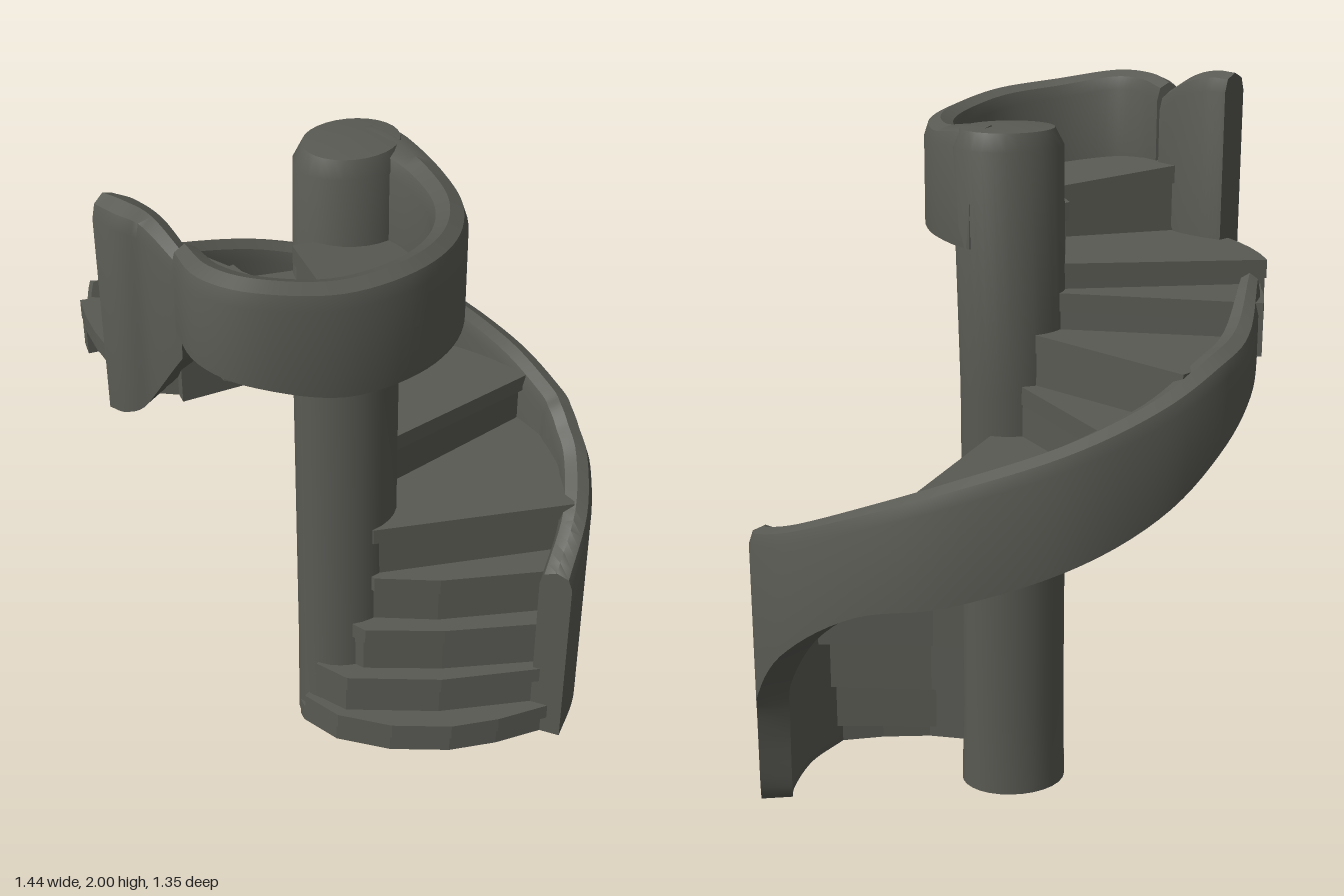
import * as THREE from 'three';
import { toCreasedNormals } from 'three/addons/utils/BufferGeometryUtils.js';

const rad = THREE.MathUtils.degToRad;
const polar = (deg, r) => [r * Math.cos(rad(deg)), r * Math.sin(rad(deg))];

// Flat slab from a plan outline of [x, z] points, between heights y0 and y1
function slab(outline, y0, y1) {
  const shape = new THREE.Shape(outline.map(([x, z]) => new THREE.Vector2(x, -z)));
  const geo = new THREE.ExtrudeGeometry(shape, { depth: y1 - y0, bevelEnabled: false });
  geo.rotateX(-Math.PI / 2);
  geo.translate(0, y0, 0);
  return geo;
}

// Move every vertex with rule(v), then rebuild the normals
function reshape(geo, rule) {
  const p = geo.attributes.position, v = new THREE.Vector3();
  for (let i = 0; i < p.count; i++) {
    v.fromBufferAttribute(p, i);
    rule(v);
    p.setXYZ(i, v.x, v.y, v.z);
  }
  return toCreasedNormals(geo, rad(40));
}

// Upright wall with a rounded top, swept along rows of [x, z, bottom, top, thickness]
function sweptWall(rows, steps) {
  const curve = (f) => new THREE.CatmullRomCurve3(rows.map(f), false, 'catmullrom', 0.5);
  const low = curve((p) => new THREE.Vector3(p[0], p[2], p[1]));
  const high = curve((p) => new THREE.Vector3(p[0], p[3], p[1]));
  const width = curve((p) => new THREE.Vector3(p[4], 0, 0));
  // across (in half thicknesses) and drop from the top; null means the bottom edge
  const section = [[-1, null], [-1, 0.05], [-0.75, 0.015], [0, 0], [0.75, 0.015], [1, 0.05], [1, null]];
  const n = section.length, pos = [], idx = [];
  for (let i = 0; i <= steps; i++) {
    const t = i / steps, a = low.getPoint(t), b = high.getPoint(t), half = width.getPoint(t).x / 2;
    const d = low.getPoint(Math.min(1, t + 0.004)).sub(low.getPoint(Math.max(0, t - 0.004)));
    d.y = 0;
    d.normalize();
    for (const [u, drop] of section) {
      pos.push(a.x - d.z * u * half, drop === null ? Math.max(0, a.y) : b.y - drop, a.z + d.x * u * half);
    }
  }
  for (let i = 0; i < steps; i++) {
    for (let j = 0; j < n; j++) {
      const k = (j + 1) % n, p = i * n, q = p + n;
      idx.push(p + j, q + j, p + k, p + k, q + j, q + k);
    }
  }
  const e = steps * n;
  for (let j = 1; j < n - 1; j++) idx.push(0, j, j + 1, e, e + j + 1, e + j);
  const geo = new THREE.BufferGeometry();
  geo.setAttribute('position', new THREE.Float32BufferAttribute(pos, 3));
  geo.setIndex(idx);
  return toCreasedNormals(geo, rad(40));
}

export function createModel() {
  const model = new THREE.Group();
  const stone = new THREE.MeshStandardMaterial({ color: 0x5a5a54, side: THREE.DoubleSide });
  stone.name = 'dark stone';
  const add = (name, geo, parent = model) => {
    const mesh = new THREE.Mesh(geo, stone);
    mesh.name = name;
    parent.add(mesh);
  };

  // Central column: slightly oval and leaning a little, softly rounded at the top
  const profile = [[0, 0], [0.15, 0], [0.145, 0.24], [0.145, 1.2], [0.148, 1.86], [0.125, 1.905], [0, 1.918]]
    .map(([x, y]) => new THREE.Vector2(x, y));
  add('column', reshape(new THREE.LatheGeometry(profile, 28), (v) => {
    v.x += -0.035 + 0.025 * Math.max(0, v.y - 1);
    v.z = v.z * 0.82 + 0.03 - 0.012 * v.y;
  }));

  // Steps: front edge (an angle, or points from column to wall), its angle, top, outer radius.
  // The last row is only the edge where the landing begins.
  const steps = [
    [[[-0.19, 0.08], [-0.13, 0.19], [0, 0.29], [0.16, 0.36], [0.3, 0.385], [0.46, 0.39]], 40, 0.11, 0.6],
    [[[-0.16, 0.1], [-0.1, 0.19], [0.15, 0.3], [0.46, 0.375]], 39, 0.25, 0.6],
    [[[-0.09, 0.1], [-0.04, 0.18], [0.17, 0.27], [0.48, 0.36]], 37, 0.41, 0.61],
    [[[-0.02, 0.1], [0, 0.15], [0.17, 0.23], [0.51, 0.32]], 32, 0.57, 0.62],
    [[[-0.02, 0.1], [0, 0.14], [0.57, 0.25]], 24, 0.74, 0.635],
    [-15, -15, 0.9, 0.64],
    [-55, -55, 1.09, 0.61],
    [-104, -104, 1.23, 0.61],
    [-122, -122, 1.37, 0.63],
    [-156, -156, 1.47, 0.69],
    [-172, -172, 1.54, 0.71],
    [[[-0.17, 0.08], [-0.17, 0.33], [-0.58, 0.35]], -208],
  ];
  const plate = 0.05;
  // Front edge of a step, moved back under the nosing
  const edge = ([front, , , r], back) => (Array.isArray(front)
    ? front.map(([x, z]) => [x, z - back])
    : [polar(front - back * 130, 0.08), polar(front - back * 130, r)]);
  const stairs = new THREE.Group();
  stairs.name = 'stairs';
  model.add(stairs);
  steps.slice(0, -1).forEach((step, i) => {
    const [, a, top, r] = step, next = steps[i + 1];
    const arc = [1, 2, 3, 4, 5].map((k) => polar(a + ((next[1] - a) * k) / 6, r));
    add('tread' + (i + 1), slab([...edge(step, 0), ...arc, ...edge(next, 0.04).reverse()], top - plate, top), stairs);
    const foot = i ? steps[i - 1][2] - plate : 0;
    add('riser' + (i + 1), slab([...edge(step, 0.012), ...edge(step, 0.04).reverse()], foot, top - plate), stairs);
  });

  // Outer spiral wall: angle, radius, bottom, top, thickness
  const spiral = [
    [40.5, 0.595, 0, 0.63, 0.095], [25, 0.625, 0, 0.73, 0.09], [10, 0.652, 0, 0.8, 0.09],
    [2, 0.66, 0.02, 0.84, 0.09], [-3, 0.665, 0.27, 0.87, 0.09], [-9, 0.672, 0.42, 0.89, 0.09],
    [-25, 0.668, 0.62, 0.96, 0.09], [-45, 0.655, 0.78, 1.06, 0.09], [-65, 0.64, 0.84, 1.15, 0.09],
    [-90, 0.632, 0.93, 1.24, 0.09], [-112, 0.632, 1.03, 1.32, 0.09], [-130, 0.635, 1.15, 1.39, 0.1],
    [-146, 0.64, 1.25, 1.43, 0.09], [-163, 0.65, 1.33, 1.53, 0.06],
  ].map(([a, r, ...rest]) => [...polar(a, r), ...rest]);
  add('spiralWall', sweptWall(spiral, 78));

  // Upper landing: thin floor rising to the left
  const rise = (x) => 0.12 * Math.max(0, -x);
  const landing = slab([
    [-0.58, 0.3], [-0.54, 0.54], [-0.42, 0.59], [-0.3, 0.6], [-0.12, 0.56],
    [0.03, 0.45], [0.09, 0.32], [0.1, 0.1], [0, 0.05], [-0.2, 0.08], [-0.2, 0.28],
  ], 1.61, 1.66);
  add('landingFloor', reshape(landing, (v) => { v.y += rise(v.x); }));

  // Riser up to the landing, leaning forward at its foot
  const landingRiser = slab([
    [-0.58, 0.31], [-0.19, 0.29], [-0.19, 0.08], [-0.16, 0.08], [-0.16, 0.32], [-0.58, 0.34],
  ], 1.49, 1.62);
  add('landingRiser', reshape(landingRiser, (v) => { if (v.y > 1.6) v.y += rise(v.x); }));

  // Parapet curling from the landing round into the column
  add('landingParapet', sweptWall([
    [-0.565, 0.38, 1.73, 1.95, 0.07], [-0.55, 0.5, 1.72, 1.96, 0.09], [-0.47, 0.59, 1.7, 1.96, 0.09],
    [-0.3, 0.625, 1.65, 1.935, 0.09], [-0.12, 0.585, 1.63, 1.92, 0.09], [0.02, 0.48, 1.61, 1.9, 0.09],
    [0.1, 0.34, 1.6, 1.89, 0.09], [0.115, 0.18, 1.6, 1.89, 0.1], [0.08, 0.05, 1.6, 1.91, 0.13], [0.04, -0.02, 1.6, 1.915, 0.15],
  ], 54));

  // Short raised end post beside the last step
  add('endPost', sweptWall([
    [-0.69, 0.18, 1.42, 2, 0.08], [-0.655, 0.235, 1.44, 2, 0.1],
    [-0.61, 0.29, 1.5, 1.98, 0.08], [-0.565, 0.39, 1.66, 1.92, 0.06],
  ], 15));

  return model;
}
